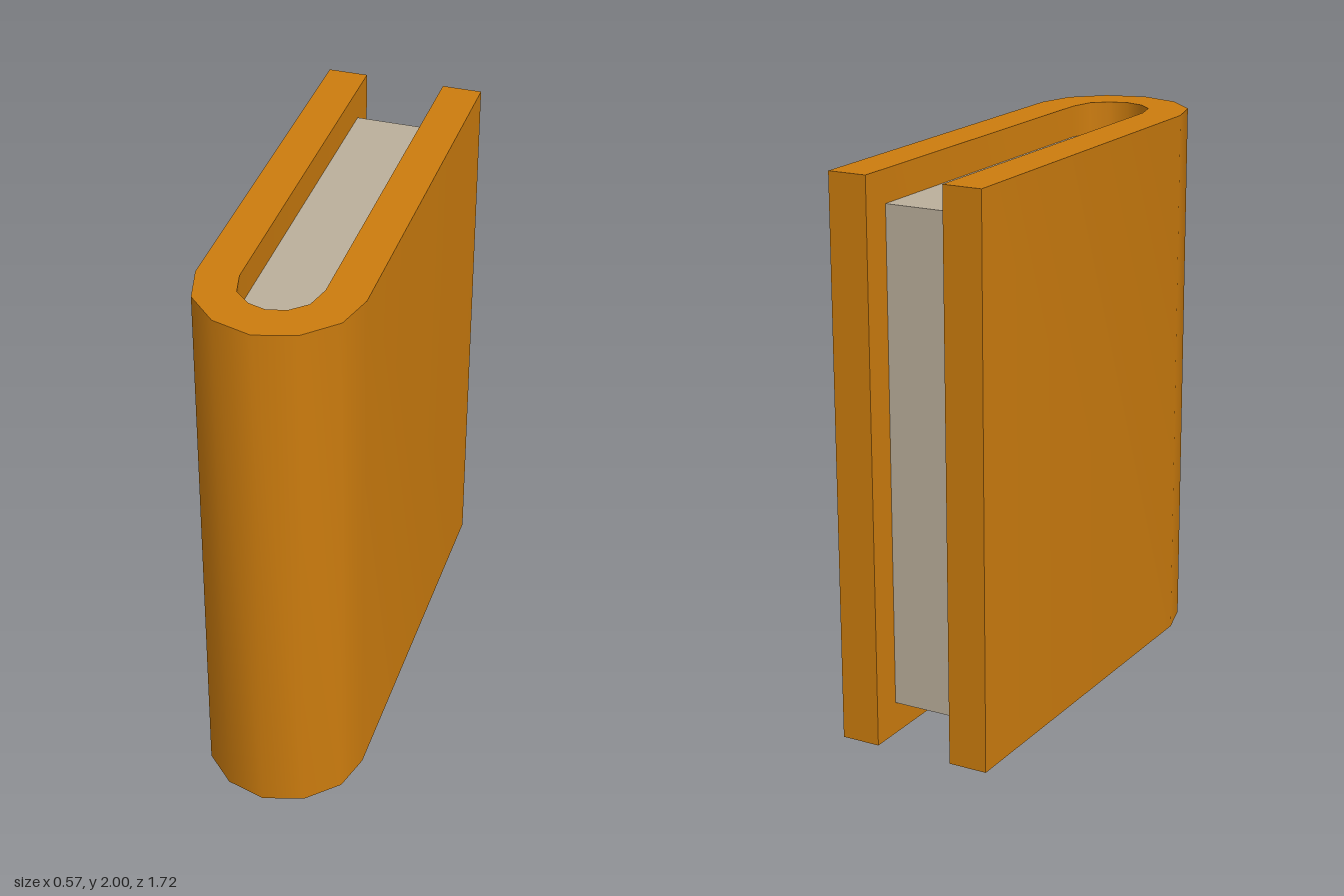
import * as THREE from 'three';
import { toCreasedNormals } from 'three/addons/utils/BufferGeometryUtils.js';

const HEIGHT = 2;
const INSET = 0.115; // pages sit back from the cover edges
const BACK = -0.86;

// Half profiles as [x, z], from the straight side round to the spine centre
const outer = [[0.285, 0.57], [0.248, 0.71], [0.142, 0.815], [0, 0.857]];
const inner = [[0.143, 0.55], [0.121, 0.64], [0.067, 0.69], [0, 0.71]];

// Open U outline from the +x back corner round to the -x back corner
function outline(half, back) {
  const right = [[half[0][0], back], ...half];
  const left = right.slice(0, -1).reverse().map(([x, z]) => [-x, z]);
  return [...right, ...left];
}

// Raise a plan outline into an upright solid with a smooth spine curve
function upright(points, bottom, height) {
  const shape = new THREE.Shape(points.map(([x, z]) => new THREE.Vector2(x, -z)));
  const geometry = new THREE.ExtrudeGeometry(shape, { depth: height, bevelEnabled: false });
  geometry.rotateX(-Math.PI / 2).translate(0, bottom, 0);
  return toCreasedNormals(geometry, THREE.MathUtils.degToRad(40));
}

export function createModel() {
  const leather = new THREE.MeshStandardMaterial({ name: 'orange brown cover', color: 0xcc7c0e });
  const paper = new THREE.MeshStandardMaterial({ name: 'grey beige paper', color: 0xbbaf9b });

  // Cover: both boards and the rounded spine in one piece
  const coverPlan = [...outline(outer, BACK), ...outline(inner, BACK).reverse()];
  const cover = new THREE.Mesh(upright(coverPlan, 0, HEIGHT), leather);
  cover.name = 'cover';

  // Page block filling the cover, inset at top, bottom and back
  const pagePlan = outline(inner, BACK + INSET);
  const pages = new THREE.Mesh(upright(pagePlan, INSET, HEIGHT - 2 * INSET), paper);
  pages.name = 'pages';

  const book = new THREE.Group();
  book.name = 'book';
  book.add(cover, pages);
  return book;
}
